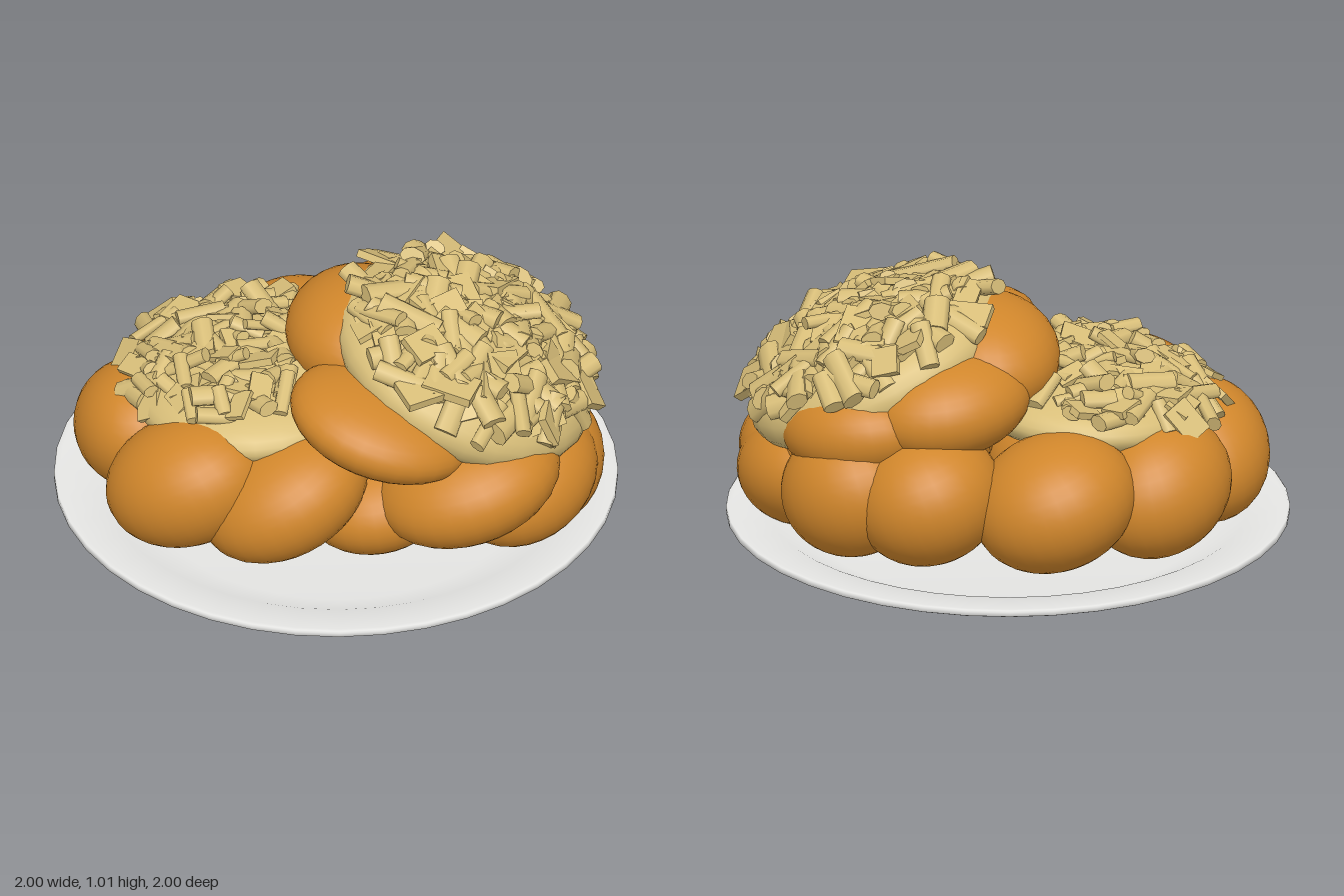
import * as THREE from 'three';
import { mergeGeometries } from 'three/addons/utils/BufferGeometryUtils.js';

const rad = THREE.MathUtils.degToRad;

// Small seeded random generator
function makeRandom(seed) {
  let s = seed;
  return () => (s = (s * 16807) % 2147483647) / 2147483647;
}

// Braid lobes: centre x, y, z; half length, height, depth; outward yaw, roll
const lowerBunLobes = [
  [-0.70, 0.30, -0.04, 0.30, 0.23, 0.23, -90, 20],
  [-0.48, 0.30, -0.36, 0.29, 0.24, 0.25, -135, 20],
  [-0.09, 0.31, -0.47, 0.30, 0.24, 0.29, 180, 20],
  [-0.53, 0.33, 0.36, 0.31, 0.23, 0.26, -22, 27],
  [-0.19, 0.32, 0.42, 0.32, 0.21, 0.28, 5, 28],
];
const leaningBunLobes = [
  [0.14, 0.22, 0.30, 0.27, 0.18, 0.27, 0, 10],
  [0.46, 0.355, 0.40, 0.34, 0.20, 0.30, 4, 17],
  [0.66, 0.28, 0.27, 0.30, 0.21, 0.25, 55, 15],
  [0.70, 0.26, 0.12, 0.30, 0.21, 0.25, 90, 15],
  [0.60, 0.31, -0.24, 0.27, 0.24, 0.24, 125, 20],
  [0.35, 0.32, -0.38, 0.27, 0.24, 0.27, 160, 20],
  [0.16, 0.60, 0.39, 0.34, 0.15, 0.30, -4, -17],
  [0.08, 0.71, -0.02, 0.32, 0.20, 0.26, -90, 5],
  [0.25, 0.62, -0.25, 0.30, 0.18, 0.25, -160, 8],
  [0.58, 0.53, -0.20, 0.28, 0.17, 0.22, 140, 8],
];

export function createModel() {
  const crust = new THREE.MeshStandardMaterial({ color: 0xd0862b });
  crust.name = 'baked crust';
  const cheese = new THREE.MeshStandardMaterial({ color: 0xd8be79 });
  cheese.name = 'cheese';
  const china = new THREE.MeshStandardMaterial({ color: 0xe6e6e4 });
  china.name = 'pale grey china';

  const model = new THREE.Group();
  model.name = 'braidedBunsOnPlate';

  // Thin dished plate with a wide flat rim
  const plateProfile = [
    [0, 0], [0.67, 0], [0.84, 0.085], [0.99, 0.09], [1, 0.095],
    [1, 0.11], [0.995, 0.115], [0.98, 0.115], [0.85, 0.108], [0.67, 0.025], [0, 0.02],
  ].map(([r, y]) => new THREE.Vector2(r, y));
  const plate = new THREE.Mesh(new THREE.LatheGeometry(plateProfile, 40), china);
  plate.name = 'plate';
  model.add(plate);

  const ball = new THREE.SphereGeometry(1, 28, 20);
  function ellipsoid(parent, name, material, [x, y, z, a, b, c, yaw = 0, roll = 0]) {
    const mesh = new THREE.Mesh(ball, material);
    mesh.name = name;
    mesh.position.set(x, y, z);
    mesh.scale.set(a, b, c);
    mesh.rotation.set(0, rad(yaw), rad(roll), 'YXZ');
    parent.add(mesh);
  }

  // A bun is a hidden core wrapped in overlapping lobes
  function addBun(name, core, lobes) {
    const bun = new THREE.Group();
    bun.name = name;
    ellipsoid(bun, 'bunCore', crust, core);
    lobes.forEach((lobe) => ellipsoid(bun, 'braidLobe', crust, lobe));
    model.add(bun);
  }
  addBun('lowerBun', [-0.34, 0.30, 0, 0.42, 0.24, 0.46], lowerBunLobes);
  addBun('leaningBun', [0.44, 0.40, 0.08, 0.40, 0.30, 0.42], leaningBunLobes);

  // Cheese dome strewn with short curls and flat chips
  function addTopping({ name, position, tilt, radii, count, spread, offset, size, seed }) {
    const random = makeRandom(seed);
    const between = (lo, hi) => lo + (hi - lo) * random();
    const topping = new THREE.Group();
    topping.name = name;
    topping.position.set(...position);
    topping.rotation.set(...tilt);
    const [rx, h, rz] = radii;
    ellipsoid(topping, 'meltedCheese', cheese, [0, 0, 0, rx, h, rz]);

    const pieces = [];
    const up = new THREE.Vector3(0, 1, 0);
    for (let i = 0; i < count; i++) {
      // Even sunflower spacing over the dome
      const r = spread * Math.sqrt((i + 0.5) / count);
      const angle = i * 2.39996 + between(-0.2, 0.2);
      const u = r * Math.cos(angle) + offset[0];
      const v = r * Math.sin(angle) + offset[1];
      const w = Math.sqrt(Math.max(0.04, 1 - u * u - v * v));
      const normal = new THREE.Vector3(u / rx, w / h, v / rz).normalize();
      const centre = new THREE.Vector3(u * rx, w * h, v * rz)
        .addScaledVector(normal, between(-0.01, 0.03));
      normal.add(new THREE.Vector3(between(-0.45, 0.45), 0, between(-0.45, 0.45))).normalize();

      const length = between(0.1, 0.2) * size;
      const width = between(0.026, 0.042) * size;
      const isChip = i % 3 === 0;
      const piece = isChip
        ? new THREE.BoxGeometry(width * 2.6, length * 0.8, width * 0.7)
        : new THREE.CylinderGeometry(width, width, length, 8);
      if (!isChip) piece.scale(1, 1, 0.7);
      piece.rotateX(Math.PI / 2);
      const turn = new THREE.Quaternion().setFromUnitVectors(up, normal)
        .multiply(new THREE.Quaternion().setFromAxisAngle(up, between(0, Math.PI * 2)));
      piece.applyQuaternion(turn);
      piece.translate(centre.x, centre.y, centre.z);
      pieces.push(piece);
    }
    const shreds = new THREE.Mesh(mergeGeometries(pieces), cheese);
    shreds.name = 'cheeseShreds';
    topping.add(shreds);
    model.add(topping);
  }
  addTopping({
    name: 'lowerTopping', position: [-0.29, 0.52, 0.01], tilt: [0, 0, 0.05], radii: [0.44, 0.14, 0.48],
    count: 100, spread: 0.83, offset: [-0.2, -0.08], size: 1, seed: 17,
  });
  addTopping({
    name: 'leaningTopping', position: [0.45, 0.65, 0.1], tilt: [0.1, 0, -0.44], radii: [0.495, 0.21, 0.49],
    count: 180, spread: 0.89, offset: [-0.01, 0], size: 1.2, seed: 41,
  });

  return model;
}
